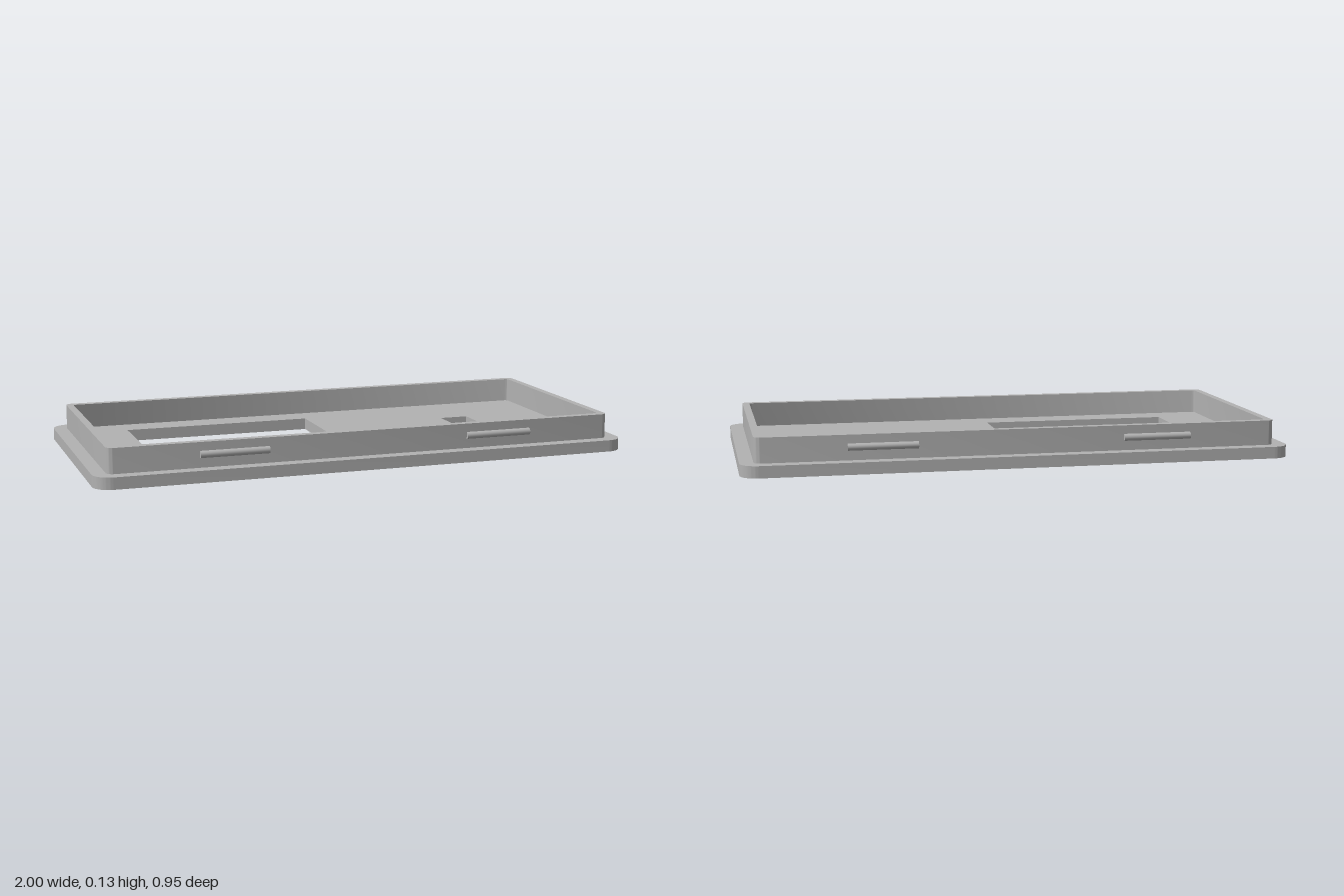
import * as THREE from 'three';
import { toCreasedNormals } from 'three/addons/utils/BufferGeometryUtils.js';

const BASE_H = 0.043, TOP = 0.134;

// Rounded rectangle outline, centred on (cx, cy)
function roundedRect(Type, w, d, r, cx = 0, cy = 0) {
  const s = new Type(), x = w / 2, y = d / 2;
  if (r === 0) {
    s.moveTo(cx - x, cy - y).lineTo(cx + x, cy - y).lineTo(cx + x, cy + y).lineTo(cx - x, cy + y);
  } else {
    s.absarc(cx + x - r, cy + y - r, r, 0, Math.PI / 2);
    s.absarc(cx - x + r, cy + y - r, r, Math.PI / 2, Math.PI);
    s.absarc(cx - x + r, cy - y + r, r, Math.PI, Math.PI * 1.5);
    s.absarc(cx + x - r, cy - y + r, r, Math.PI * 1.5, Math.PI * 2);
  }
  s.closePath();
  return s;
}

// Extrude an outline upward from height y0 to y1
function slab(name, shape, y0, y1, material) {
  const g = new THREE.ExtrudeGeometry(shape, { depth: y1 - y0, bevelEnabled: false, curveSegments: 10 });
  g.rotateX(-Math.PI / 2).translate(0, y0, 0);
  const mesh = new THREE.Mesh(toCreasedNormals(g, 0.6), material);
  mesh.name = name;
  return mesh;
}

export function createModel() {
  const group = new THREE.Group();
  group.name = 'enclosureLid';
  const grey = new THREE.MeshStandardMaterial({ color: 0xb2b2b2 });
  grey.name = 'grey plastic';

  // Face plate with a display window and a small slot
  const plate = roundedRect(THREE.Shape, 2, 0.95, 0.065);
  plate.holes.push(
    roundedRect(THREE.Path, 0.72, 0.582, 0, -0.375, 0),
    roundedRect(THREE.Path, 0.11, 0.25, 0, 0.56, 0),
  );
  group.add(slab('facePlate', plate, 0, BASE_H, grey));

  // Raised rim wall
  const rim = roundedRect(THREE.Shape, 1.9, 0.856, 0.025);
  rim.holes.push(roundedRect(THREE.Path, 1.846, 0.798, 0.012));
  group.add(slab('rim', rim, BASE_H, TOP, grey));

  // Snap ridges: thin rods half sunk into the long walls
  const rod = new THREE.CylinderGeometry(0.0128, 0.0128, 0.25, 20).rotateZ(Math.PI / 2);
  for (const sx of [-1, 1]) {
    for (const sz of [-1, 1]) {
      const ridge = new THREE.Mesh(rod, grey);
      ridge.name = `${sz > 0 ? 'front' : 'back'}${sx > 0 ? 'Left' : 'Right'}SnapRidge`;
      ridge.position.set(sx * 0.5, 0.09, sz * 0.428);
      group.add(ridge);
    }
  }
  return group;
}
